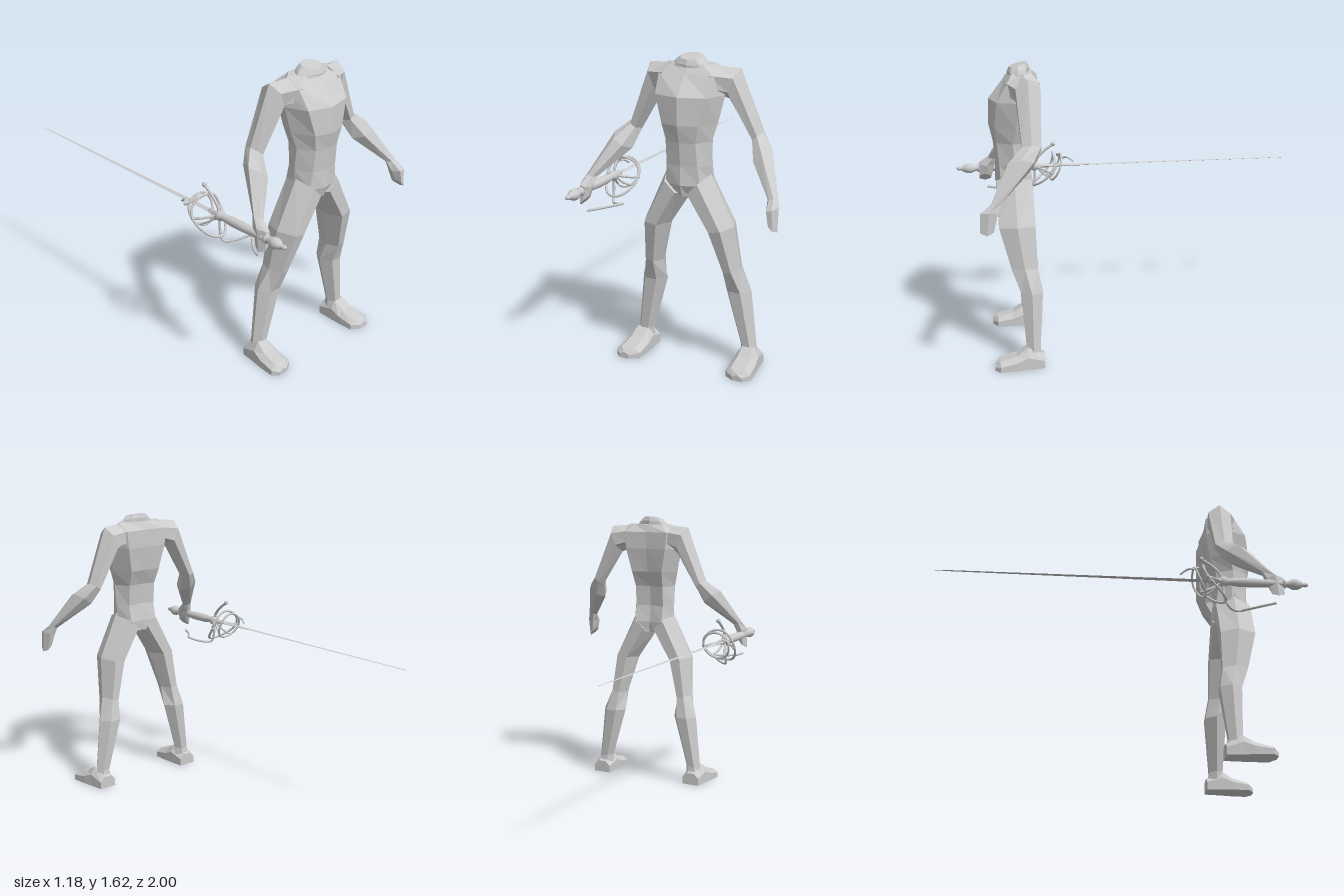
import * as THREE from 'three';

const flat = new THREE.MeshStandardMaterial({ color: 0xcccccc, flatShading: true });
const smooth = new THREE.MeshStandardMaterial({ color: 0xcccccc });
const V = (x, y, z) => new THREE.Vector3(x, y, z);

// Skins a stack of equal-length rings, caps both ends and turns faces outward
function loft(name, rings) {
  const n = rings[0].length, pts = rings.flat(), tris = [];
  for (let r = 0; r < rings.length - 1; r++) {
    for (let i = 0; i < n; i++) {
      const j = (i + 1) % n, a = r * n + i, b = r * n + j;
      tris.push([a, b, b + n], [a, b + n, a + n]);
    }
  }
  const last = (rings.length - 1) * n;
  for (let i = 1; i < n - 1; i++) tris.push([0, i + 1, i], [last, last + i, last + i + 1]);
  let volume = 0;
  const c = pts[0], rel = (i) => pts[i].clone().sub(c);
  for (const [p, q, s] of tris) volume += rel(p).dot(rel(q).cross(rel(s)));
  if (volume < 0) tris.forEach((t) => t.reverse());
  const geo = new THREE.BufferGeometry().setFromPoints(tris.flat().map((i) => pts[i]));
  geo.computeVertexNormals();
  const mesh = new THREE.Mesh(geo, flat);
  mesh.name = name;
  return mesh;
}

// Six-sided limb; each ring is [outerX, outerY, innerX, innerY, frontZ, backZ]
function limb(name, side, specs) {
  const section = [[1, 0], [0.45, 1], [-0.45, 1], [-1, 0], [-0.45, -1], [0.45, -1]];
  return loft(name, specs.map(([xo, yo, xi, yi, zf, zb]) => section.map(([u, v]) => {
    const t = (u + 1) / 2;
    return V(side * (xi + (xo - xi) * t), yi + (yo - yi) * t, (zf + zb) / 2 + (v * (zf - zb)) / 2);
  })));
}

function createBody() {
  const body = new THREE.Group();
  body.name = 'body';
  body.position.x = 0.04;

  // Torso: [y, front z, front corner x, z, side x, z, back corner x, z, back z]
  const torso = [
    [1.575, 0.68, 0.08, 0.67, 0.14, 0.61, 0.09, 0.57, 0.56],
    [1.53, 0.715, 0.15, 0.70, 0.19, 0.61, 0.14, 0.53, 0.54],
    [1.43, 0.80, 0.14, 0.76, 0.185, 0.64, 0.13, 0.53, 0.54],
    [1.29, 0.805, 0.10, 0.775, 0.155, 0.66, 0.10, 0.55, 0.56],
    [1.20, 0.785, 0.08, 0.765, 0.13, 0.68, 0.09, 0.585, 0.60],
    [1.08, 0.775, 0.085, 0.755, 0.13, 0.67, 0.09, 0.595, 0.61],
    [0.98, 0.78, 0.095, 0.75, 0.125, 0.66, 0.09, 0.575, 0.595],
    [0.92, 0.76, 0.03, 0.74, 0.035, 0.66, 0.03, 0.59, 0.60],
  ];
  body.add(loft('torso', torso.map(([y, fz, cx, cz, sx, sz, bx, bz, b]) => [
    V(0, y, fz), V(cx, y, cz), V(sx, y, sz), V(bx, y, bz),
    V(0, y, b), V(-bx, y, bz), V(-sx, y, sz), V(-cx, y, cz),
  ])));

  // Neck stump, leaning forward
  const neckRing = (y, rx, rz, tilt) => Array.from({ length: 8 }, (_, i) => {
    const a = (i * Math.PI) / 4, z = rz * Math.sin(a);
    return V(rx * Math.cos(a), y - tilt * z, 0.637 + z);
  });
  body.add(loft('neck', [neckRing(1.56, 0.11, 0.06, 0), neckRing(1.585, 0.09, 0.06, 0.2), neckRing(1.61, 0.06, 0.05, 0.25)]));

  for (const side of [1, -1]) {
    const label = side > 0 ? 'left' : 'right';
    body.add(limb(label + 'Arm', side, [
      [0.13, 1.57, 0.13, 1.43, 0.71, 0.54],
      [0.252, 1.56, 0.187, 1.405, 0.66, 0.53],
      [0.37, 1.25, 0.313, 1.205, 0.64, 0.54],
      [0.44, 1.19, 0.34, 1.11, 0.715, 0.585],
      [0.53, 0.99, 0.475, 0.975, 0.81, 0.76],
    ]));
    body.add(limb(label + 'Hand', side, [
      [0.53, 0.99, 0.475, 0.975, 0.81, 0.76],
      [0.547, 0.95, 0.482, 0.93, 0.865, 0.775],
      [0.546, 0.83, 0.497, 0.88, 0.868, 0.80],
    ]));
    body.add(limb(label + 'Leg', side, [
      [0.125, 1.03, 0, 0.905, 0.775, 0.58],
      [0.25, 0.77, 0.11, 0.745, 0.77, 0.575],
      [0.27, 0.54, 0.175, 0.52, 0.71, 0.57],
      [0.315, 0.41, 0.17, 0.41, 0.665, 0.547],
      [0.347, 0.10, 0.255, 0.11, 0.645, 0.57],
      [0.355, 0.03, 0.255, 0.03, 0.65, 0.56],
    ]));
    // Foot sections from heel to toe: [z, inner x, outer x, top y]
    const foot = [[0.55, 0.255, 0.36, 0.07], [0.64, 0.25, 0.37, 0.115], [0.70, 0.248, 0.38, 0.075], [0.79, 0.25, 0.387, 0.05], [0.82, 0.30, 0.355, 0.035]];
    body.add(loft(label + 'Foot', foot.map(([z, xi, xo, top]) => [
      V(side * xi, 0, z), V(side * xo, 0, z), V(side * xo, top * 0.6, z),
      V(side * (xo - 0.03), top, z), V(side * (xi + 0.03), top, z), V(side * xi, top * 0.6, z),
    ])));
  }
  return body;
}

// Sword built around its own axis, with the pommel towards +z
function createSword() {
  const sword = new THREE.Group();
  sword.name = 'sword';
  sword.position.set(-0.486, 0.91, 0);
  const add = (name, geo, x = 0, y = 0, z = 0) => {
    const mesh = new THREE.Mesh(geo, smooth);
    mesh.name = name;
    mesh.position.set(x, y, z);
    sword.add(mesh);
    return mesh;
  };
  const turned = (name, profile) => add(name,
    new THREE.LatheGeometry(profile.map(([r, z]) => new THREE.Vector2(r, z)), 16).rotateX(Math.PI / 2));
  const bar = (name, points, radius = 0.007, closed = false) => add(name,
    new THREE.TubeGeometry(new THREE.CatmullRomCurve3(points.map((p) => V(...p)), closed), 40, radius, 8, closed));
  const ball = (x, y, z, r = 0.011) => add('finial', new THREE.SphereGeometry(r, 12, 8), x, y, z);

  // Diamond-section blade
  const section = (z, w, t) => [V(w, 0, z), V(0, t, z), V(-w, 0, z), V(0, -t, z)];
  sword.add(loft('blade', [section(0.52, 0.017, 0.009), section(0.30, 0.016, 0.007), section(0.15, 0.014, 0.004), section(-0.9, 0.006, 0.002), section(-1, 0.001, 0.001)]));

  turned('grip', [[0, 0.45], [0.012, 0.46], [0.014, 0.51], [0.027, 0.53], [0.027, 0.55], [0.018, 0.57], [0.024, 0.62], [0.025, 0.70], [0.02, 0.80], [0.018, 0.86], [0, 0.86]]);
  turned('pommel', [[0, 0.85], [0.024, 0.86], [0.024, 0.875], [0.015, 0.88], [0.029, 0.915], [0.03, 0.935], [0.02, 0.96], [0.01, 0.972], [0.013, 0.985], [0.008, 0.998], [0, 1]]);

  // Quillons above and below the grip
  bar('upperQuillon', [[0, 0, 0.54], [0, 0.05, 0.52], [0, 0.1, 0.47], [0, 0.13, 0.425]], 0.008);
  ball(0, 0.132, 0.425, 0.013);
  bar('knuckleBow', [[0, 0, 0.54], [0, -0.08, 0.54], [0.005, -0.137, 0.56], [0.06, -0.135, 0.60], [0.115, -0.112, 0.65], [0.09, -0.115, 0.68], [0.02, -0.12, 0.77], [0, -0.115, 0.82]]);

  // Guard rings, bowed around the blade
  const ring = (r, yc, z, bow, lean) => Array.from({ length: 16 }, (_, i) => {
    const a = (i * Math.PI) / 8, c = Math.cos(a), s = Math.sin(a);
    return [r * c, yc + r * s, z - bow * c * c - lean * s];
  });
  bar('largeGuardRing', ring(0.096, -0.018, 0.49, 0.05, 0.06), 0.007, true);
  bar('smallGuardRing', ring(0.078, -0.01, 0.41, 0.015, 0.03), 0.006, true);
  for (const s of [1, -1]) {
    bar('guardArm', [[0, 0, 0.53], [s * 0.04, -0.01, 0.50], [s * 0.08, -0.02, 0.46], [s * 0.09, -0.022, 0.43]]);
    bar('guardLink', [[0, 0, 0.53], [s * 0.02, -0.05, 0.48], [s * 0.04, -0.077, 0.43]], 0.006);
    ball(s * 0.094, -0.022, 0.44);
  }
  bar('guardHook', [[0, 0.068, 0.38], [-0.045, 0.055, 0.40], [-0.08, 0.025, 0.365], [-0.055, 0.035, 0.34], [-0.042, 0.01, 0.30]], 0.006);
  return sword;
}

export function createModel() {
  const model = new THREE.Group();
  model.name = 'swordsman';
  model.add(createBody(), createSword());
  return model;
}
